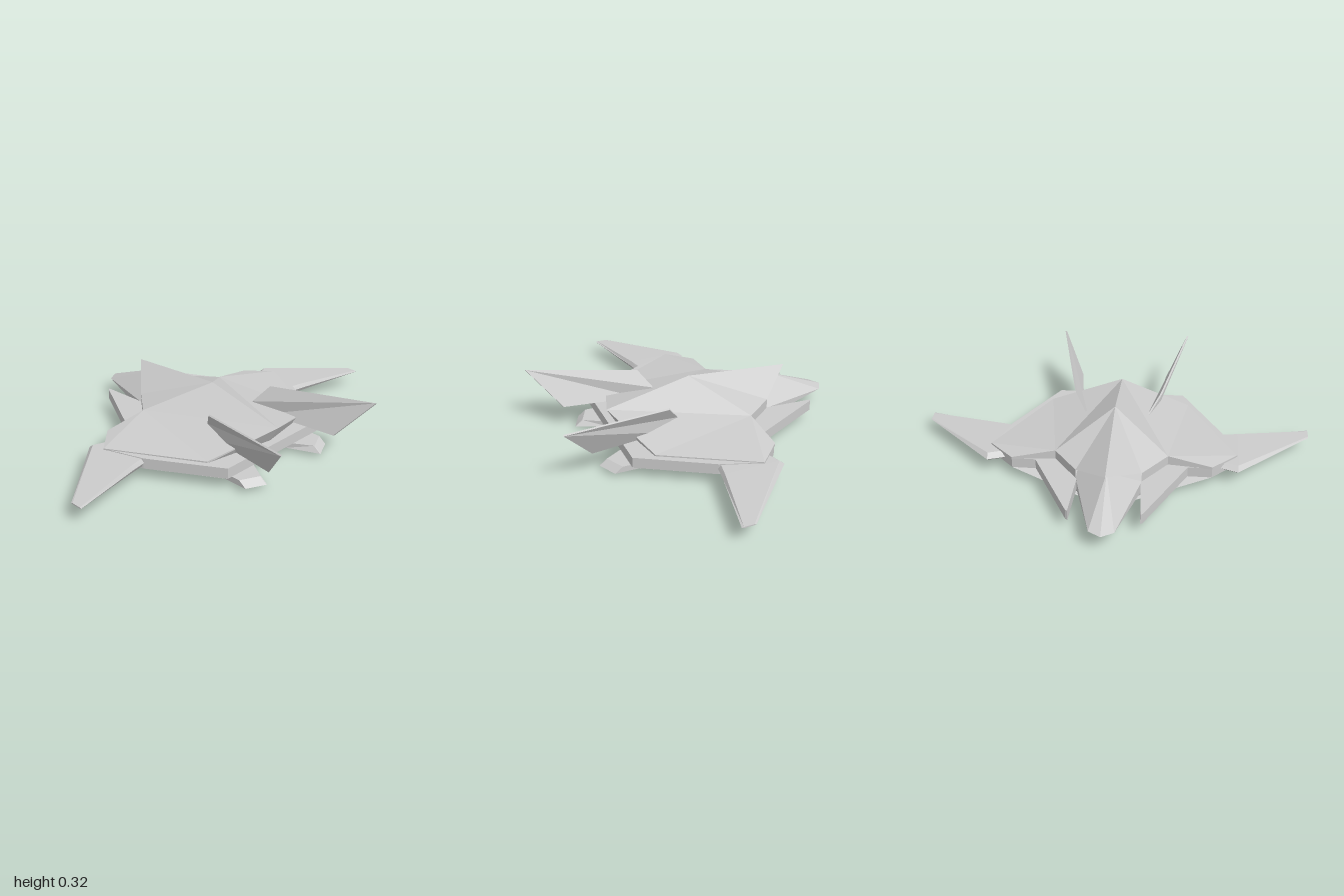
import * as THREE from 'three';

const material = new THREE.MeshStandardMaterial({ color: 0xcccccc, flatShading: true, side: THREE.DoubleSide });

// Flat-faced shell from half-side polygons, mirrored in x; faces point away from centre
function mirroredShell(name, polygons, centre) {
  const pos = [];
  const c = new THREE.Vector3(...centre);
  for (const side of [1, -1]) {
    for (const poly of polygons) {
      const p = poly.map(([x, y, z]) => new THREE.Vector3(x * side, y, z));
      for (let i = 1; i < p.length - 1; i++) {
        const tri = [p[0], p[i], p[i + 1]];
        const n = tri[1].clone().sub(tri[0]).cross(tri[2].clone().sub(tri[0]));
        if (n.dot(tri[0].clone().sub(c)) < 0) tri.reverse();
        tri.forEach(v => pos.push(v.x, v.y, v.z));
      }
    }
  }
  return toMesh(name, pos);
}

// Closed solid joining loops of equal length, capped at both ends
function loft(name, loops, side = 1) {
  const pos = [];
  const tri = (a, b, c) => {
    for (const v of side > 0 ? [a, b, c] : [a, c, b]) pos.push(v[0] * side, v[1], v[2]);
  };
  const n = loops[0].length;
  for (let k = 0; k < loops.length - 1; k++) {
    for (let i = 0; i < n; i++) {
      const j = (i + 1) % n;
      const a = loops[k], b = loops[k + 1];
      tri(a[i], a[j], b[j]);
      tri(a[i], b[j], b[i]);
    }
  }
  const first = loops[0], last = loops[loops.length - 1];
  for (let i = 1; i < n - 1; i++) {
    tri(first[0], first[i + 1], first[i]);
    tri(last[0], last[i], last[i + 1]);
  }
  return toMesh(name, pos);
}

function toMesh(name, pos) {
  const g = new THREE.BufferGeometry();
  g.setAttribute('position', new THREE.Float32BufferAttribute(pos, 3));
  g.computeVertexNormals();
  const mesh = new THREE.Mesh(g, material);
  mesh.name = name;
  return mesh;
}

// Horizontal plate from an x,z outline
function plate(name, outline, bottom, top) {
  const shape = new THREE.Shape(outline.map(([x, z]) => new THREE.Vector2(x, z)));
  const g = new THREE.ExtrudeGeometry(shape, { depth: top - bottom, bevelEnabled: false });
  g.rotateX(Math.PI / 2).translate(0, top, 0);
  const mesh = new THREE.Mesh(g, material);
  mesh.name = name;
  return mesh;
}

export function createModel() {
  const model = new THREE.Group();
  model.name = 'spacecraft';

  // Middle slab with two forward prongs
  const half = [[0.155, -0.36], [0.17, -0.61], [0.18, -0.605], [0.38, -0.225], [0.5, -0.225],
    [0.62, -0.11], [0.55, 0.09], [0.34, 0.44]];
  const outline = [...half, ...half.map(([x, z]) => [-x, z]).reverse()];
  model.add(plate('middleSlab', outline, 0.06, 0.115));

  // Faceted upper hull with an overhanging front hood
  const apex = [0, 0.3, 0.01], hood = [0, 0.26, -0.535], stern = [0, 0.2, 0.45];
  const cheek = [0.16, 0.165, -0.36], shoulder = [0.28, 0.165, -0.21];
  const front = [0.5, 0.125, -0.23], corner = [0.625, 0.12, -0.11], rear = [0.37, 0.122, 0.335];
  const low = ([x, , z]) => [x, 0.112, z];
  model.add(mirroredShell('upperHull', [
    [apex, hood, cheek], [apex, cheek, shoulder], [apex, shoulder, stern],
    [shoulder, stern, rear], [shoulder, rear, corner], [shoulder, corner, front],
    [hood, cheek, [0, 0.165, -0.36]], [cheek, shoulder, low(shoulder), low(cheek)],
    [shoulder, front, low(front), low(shoulder)], [front, corner, low(corner), low(front)],
    [corner, rear, low(rear), low(corner)], [stern, rear, low(rear), [0, 0.112, 0.4]],
  ], [0, 0.14, 0]));

  // Nose wedge running under the hood
  const tip = [0, 0.1, -0.765], tipSide = [0.06, 0.1, -0.73];
  const ridge = [0, 0.225, -0.45], noseSide = [0.16, 0.115, -0.36];
  const keelFront = [0, 0.003, -0.44], keelRear = [0, 0, 0.33], noseLow = [0.16, 0.058, -0.36];
  model.add(mirroredShell('nose', [
    [ridge, tip, tipSide], [ridge, tipSide, noseSide],
    [ridge, noseSide, [0.16, 0.115, -0.2], [0, 0.2, -0.2]],
    [tipSide, noseSide, noseLow],
  ], [0, 0.1, -0.4]));

  // Shallow V-shaped lower hull
  const bellyFront = [0.38, 0.06, -0.225], bellyCorner = [0.62, 0.06, -0.11];
  const bellySide = [0.55, 0.06, 0.09], bellyRear = [0.34, 0.058, 0.435];
  model.add(mirroredShell('lowerHull', [
    [keelFront, tip, tipSide], [keelFront, tipSide, noseLow], [keelFront, noseLow, bellyFront],
    [keelFront, bellyFront, [0.5, 0.06, -0.225], bellyCorner],
    [keelFront, bellyCorner, bellySide, keelRear],
    [keelRear, bellySide, bellyRear], [keelRear, bellyRear, [0, 0.06, 0.38]],
  ], [0, 0.075, 0]));

  // Wings, tail fins and rear thruster plates on both sides
  for (const side of [1, -1]) {
    const label = side > 0 ? 'left' : 'right';

    const root = [[0.5, 0.09, 0.085], [0.5, 0.112, 0.07], [0.5, 0.112, -0.14], [0.5, 0.09, -0.17], [0.5, 0.066, -0.14], [0.5, 0.066, 0.07]];
    const mid = [[0.63, 0.09, 0.107], [0.63, 0.11, 0.095], [0.63, 0.112, -0.185], [0.63, 0.09, -0.213], [0.63, 0.068, -0.185], [0.63, 0.07, 0.095]];
    const end = [[1, 0.09, 0.19], [1, 0.093, 0.18], [1, 0.093, 0.13], [1, 0.09, 0.12], [1, 0.087, 0.13], [1, 0.087, 0.18]];
    model.add(loft(label + 'Wing', [root, mid, end], side));

    const fin = [[0.35, 0.317, 0.762], [0.225, 0.265, 0.205], [0.165, 0.178, 0.14], [0.19, 0.125, 0.22], [0.24, 0.125, 0.605]];
    const shifted = d => fin.map(([x, y, z]) => [x + d, y - d * 0.5, z]);
    model.add(loft(label + 'TailFin', [shifted(-0.004), shifted(0.004)], side));

    const pad = [[0.13, 0.3], [0.3, 0.3], [0.3, 0.515], [0.205, 0.56], [0.2, 0.56], [0.13, 0.4]];
    const layer = (y, back) => pad.map(([x, z]) => [x, y, z > 0.45 ? z - back : z]);
    model.add(loft(label + 'ThrusterPlate', [layer(0.05, 0.04), layer(0.02, 0)], side));
  }
  return model;
}
